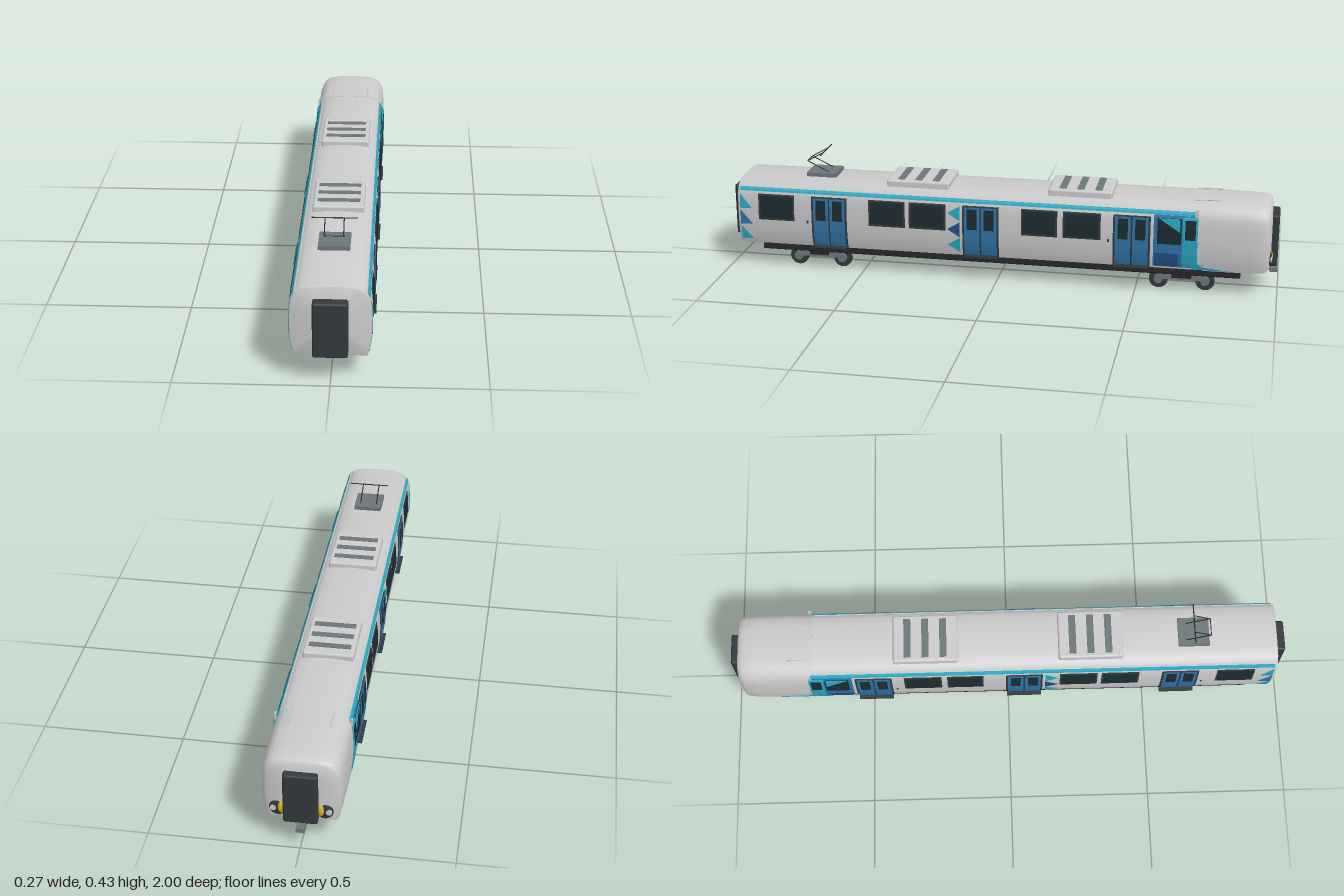
import * as THREE from 'three';
import { toCreasedNormals } from 'three/addons/utils/BufferGeometryUtils.js';
import { RoundedBoxGeometry } from 'three/addons/geometries/RoundedBoxGeometry.js';

const mat = (color) => new THREE.MeshStandardMaterial({ color });
const M = {
  grey: mat(0xcccccc), dark: mat(0x33393c), under: mat(0x25282b), steel: mat(0x6c7679),
  glass: mat(0x1c2b30), blue: mat(0x2f73a8), navy: mat(0x234f86), cyan: mat(0x27a9c4), yellow: mat(0xe0b520),
};

// Half cross-section of the car, from sill to roof ridge
const half = [[0.117, 0.09], [0.124, 0.115], [0.129, 0.15], [0.131, 0.2], [0.129, 0.25], [0.126, 0.28],
  [0.12, 0.297], [0.109, 0.313], [0.093, 0.324], [0.06, 0.33], [0, 0.333]];
const ring = [...half, ...half.slice(0, -1).reverse().map(([x, y]) => [-x, y])];

// Body half-width at a height
function sideX(y) {
  for (let i = 1; i < half.length; i++) {
    const [x0, y0] = half[i - 1], [x1, y1] = half[i];
    if (y <= y1) return x0 + (x1 - x0) * Math.max(0, (y - y0) / (y1 - y0));
  }
  return 0;
}

function extrude(points, depth) {
  const shape = new THREE.Shape(points.map(([x, y]) => new THREE.Vector2(x, y)));
  return new THREE.ExtrudeGeometry(shape, { depth, bevelEnabled: false });
}

// Skin through scaled cross-sections; each section is [z, scaleX, scaleY, slant]
function loft(sections) {
  const n = ring.length, pos = [], index = [];
  for (const [z, sx, sy, slant] of sections)
    for (const [x, y] of ring) pos.push(x * sx, 0.2 + (y - 0.2) * sy, z - slant * (0.333 - y));
  for (let i = 0; i < sections.length - 1; i++)
    for (let j = 0; j < n; j++) {
      const a = i * n + j, b = i * n + (j + 1) % n;
      index.push(a, a + n, b, b, a + n, b + n);
    }
  const g = new THREE.BufferGeometry();
  g.setAttribute('position', new THREE.Float32BufferAttribute(pos, 3));
  g.setIndex(index);
  return toCreasedNormals(g, 0.75);
}

export function createModel() {
  const root = new THREE.Group();
  root.name = 'railCar';
  const add = (name, geo, material, x = 0, y = 0, z = 0, parent = root) => {
    const m = new THREE.Mesh(geo, material);
    m.name = name;
    m.position.set(x, y, z);
    parent.add(m);
    return m;
  };
  const box = (name, w, h, d, material, x, y, z, parent) =>
    add(name, new THREE.BoxGeometry(w, h, d), material, x, y, z, parent);
  const rod = (name, a, b, r, material, parent) => {
    const p = new THREE.Vector3(...a), q = new THREE.Vector3(...b);
    const m = add(name, new THREE.CylinderGeometry(r, r, p.distanceTo(q), 8), material, 0, 0, 0, parent);
    m.position.copy(p).add(q).multiplyScalar(0.5);
    m.quaternion.setFromUnitVectors(new THREE.Vector3(0, 1, 0), q.sub(p).normalize());
  };

  // Body and cab shells
  add('bodyShell', loft([[0.965, 0.01, 0.01, 0], [0.965, 0.95, 0.96, 0], [0.963, 0.98, 0.985, 0],
    [0.955, 1, 1, 0], [-0.73, 1, 1, 0], [-0.73, 0.01, 0.01, 0]]), M.grey);
  add('cabShell', loft([[-0.7, 0.98, 0.98, 0.15], [-0.7, 1.008, 1.012, 0.15], [-0.8, 1.008, 1.012, 0.05],
    [-0.9, 1.005, 1.005, 0], [-0.945, 0.985, 0.985, 0], [-0.96, 0.94, 0.95, 0],
    [-0.967, 0.86, 0.9, 0], [-0.972, 0.5, 0.6, 0], [-0.973, 0.01, 0.01, 0]]), M.grey);

  // Gangways at both ends
  add('frontGangway', new RoundedBoxGeometry(0.112, 0.19, 0.06, 3, 0.008), M.dark, 0, 0.193, 0.97);
  add('rearGangway', new RoundedBoxGeometry(0.112, 0.19, 0.06, 3, 0.008), M.dark, 0, 0.193, -0.966);

  // Underframe and coupler
  add('underframe', new RoundedBoxGeometry(0.224, 0.03, 1.75, 2, 0.005), M.under, 0, 0.079, 0.005);
  box('coupler', 0.028, 0.016, 0.028, M.steel, 0, 0.07, -0.984);
  box('couplerBar', 0.012, 0.01, 0.13, M.steel, 0, 0.07, -0.915);

  // Panel that follows the body side; s = 1 left, -1 right
  const panel = (name, s, z0, z1, y0, y1, off, material, parent) => {
    const ys = [y0, ...half.map((p) => p[1]).filter((y) => y > y0 && y < y1), y1];
    const pts = [...ys.map((y) => [sideX(y) + off, y]), ...ys.reverse().map((y) => [sideX(y) - 0.004, y])];
    const g = extrude(pts, z1 - z0);
    g.translate(0, 0, s > 0 ? z0 : -z1);
    if (s < 0) g.rotateY(Math.PI);
    return add(name, g, material, 0, 0, 0, parent);
  };
  // Small polygon of [z, y] corners laid on the body side
  const patch = (name, s, pts, off, material) => {
    const g = extrude(pts.map(([z, y]) => [-z * s, y]), 0.005).rotateY(Math.PI / 2);
    const p = g.attributes.position;
    for (let i = 0; i < p.count; i++) p.setX(i, p.getX(i) + sideX(p.getY(i)) + off - 0.005);
    // corners run along -z after turning, so right-hand patches are turned about y
    if (s < 0) g.rotateY(Math.PI);
    g.computeVertexNormals();
    return add(name, g, material);
  };

  for (const s of [1, -1]) {
    panel('roofLineStripe', s, -0.71, 0.955, 0.291, 0.304, 0.002, M.cyan);
    panel('gutter', s, -0.7, 0.96, 0.309, 0.313, 0.003, M.grey);

    // Passenger windows
    for (const [z0, z1] of [[0.75, 0.885], [0.335, 0.47], [0.185, 0.32], [-0.22, -0.09], [-0.375, -0.24]]) {
      panel('windowFrame', s, z0, z1, 0.185, 0.282, 0.002, M.dark);
      panel('windowPane', s, z0 + 0.007, z1 - 0.007, 0.193, 0.275, 0.003, M.glass);
    }

    // Double doors
    for (const z of [0.618, 0.057, -0.485]) {
      const door = new THREE.Group();
      door.name = 'doubleDoor';
      root.add(door);
      panel('doorFrame', s, z - 0.066, z + 0.066, 0.09, 0.282, 0.003, M.dark, door);
      for (const k of [-1, 1]) {
        const c = z + k * 0.031;
        panel('doorLeaf', s, c - 0.028, c + 0.028, 0.097, 0.277, 0.005, M.blue, door);
        panel('doorWindow', s, c - 0.018, c + 0.018, 0.195, 0.27, 0.006, M.glass, door);
      }
      box('doorStep', 0.02, 0.006, 0.125, M.dark, s * 0.127, 0.092, z, door);
      box('doorButton', 0.004, 0.01, 0.006, M.dark, s * 0.131, 0.185, z + 0.082, door);
    }

    // Triangle decoration
    for (let i = 0; i < 3; i++) {
      const y = 0.103 + i * 0.06, colour = i === 1 ? M.blue : M.cyan;
      patch('endTriangle', s, [[0.955, y], [0.912, y + 0.004], [0.955, y + 0.056]], 0.002, colour);
      patch('doorTriangle', s, [[0.133, y], [0.133, y + 0.056], [0.178, y + 0.028]], 0.002,
        i === 1 ? M.navy : M.cyan);
    }

    // Coloured bay behind the cab
    panel('cabBay', s, -0.705, -0.562, 0.097, 0.29, 0.0015, M.blue);
    panel('cabBayLower', s, -0.65, -0.566, 0.1, 0.15, 0.003, M.navy);
    panel('cabBayWindow', s, -0.66, -0.575, 0.185, 0.28, 0.003, M.glass);
    patch('cabBayWedge', s, [[-0.58, 0.279], [-0.655, 0.279], [-0.655, 0.23]], 0.005, M.cyan);
    panel('cabDoor', s, -0.717, -0.664, 0.1, 0.286, 0.005, M.cyan);
    panel('cabDoorWindow', s, -0.71, -0.673, 0.205, 0.276, 0.006, M.glass);
    patch('cabSillSweep', s, [[-0.7, 0.092], [-0.7, 0.13], [-0.735, 0.103], [-0.83, 0.092]], 0.004, M.cyan);

    // Cab aerials and roof rails
    box('cabBracket', 0.005, 0.026, 0.012, M.grey, s * 0.126, 0.302, -0.712);
    rod('roofRail', [s * 0.068, 0.334, -0.7], [s * 0.068, 0.336, -0.79], 0.002, M.grey);

    // Lamp clusters beside the rear gangway
    const lamp = add('lampHousing', new THREE.SphereGeometry(1, 20, 12), M.dark, s * 0.075, 0.137, -0.962);
    lamp.scale.set(0.032, 0.034, 0.014);
    const warning = add('yellowPanel', new THREE.SphereGeometry(1, 16, 10), M.yellow, s * 0.064, 0.139, -0.965);
    warning.scale.set(0.016, 0.026, 0.014);
    const lens = add('lampLens', new THREE.CylinderGeometry(0.01, 0.01, 0.01, 16), M.grey, s * 0.09, 0.137, -0.972);
    lens.rotation.x = Math.PI / 2;
  }

  // Roof equipment with slots
  for (const z of [0.295, -0.295]) {
    add('roofUnit', new RoundedBoxGeometry(0.176, 0.034, 0.23, 2, 0.008), M.grey, 0, 0.333, z);
    for (const k of [-1, 0, 1]) box('roofUnitSlot', 0.146, 0.003, 0.025, M.steel, 0, 0.3502, z + k * 0.064);
  }

  // Pantograph
  const panto = new THREE.Group();
  panto.name = 'pantograph';
  root.add(panto);
  box('pantographBase', 0.104, 0.014, 0.11, M.steel, 0, 0.342, 0.665, panto);
  for (const x of [-0.031, 0.031]) {
    rod('lowerArm', [x, 0.346, 0.635], [x, 0.388, 0.722], 0.002, M.under, panto);
    rod('upperArm', [x, 0.388, 0.722], [x, 0.423, 0.66], 0.0017, M.under, panto);
  }
  rod('elbowBar', [-0.031, 0.388, 0.722], [0.031, 0.388, 0.722], 0.0015, M.under, panto);
  rod('contactBar', [-0.074, 0.423, 0.66], [0.074, 0.423, 0.66], 0.002, M.under, panto);

  // Bogies
  for (const z of [0.67, -0.663]) {
    const bogie = new THREE.Group();
    bogie.name = 'bogie';
    bogie.position.z = z;
    root.add(bogie);
    add('bogieFrame', new RoundedBoxGeometry(0.172, 0.02, 0.18, 2, 0.004), M.steel, 0, 0.045, 0, bogie);
    box('bogiePivot', 0.08, 0.02, 0.06, M.under, 0, 0.06, 0, bogie);
    for (const s of [1, -1]) {
      box('sideBeam', 0.012, 0.018, 0.17, M.steel, s * 0.082, 0.046, 0, bogie);
      box('suspension', 0.018, 0.02, 0.07, M.under, s * 0.096, 0.06, 0, bogie);
      for (const dz of [0.083, -0.083]) {
        const wheel = add('wheel', new THREE.CylinderGeometry(0.034, 0.034, 0.013, 28), M.dark, s * 0.07, 0.034, dz, bogie);
        const hub = add('axleBox', new THREE.CylinderGeometry(0.016, 0.016, 0.02, 16), M.steel, s * 0.079, 0.036, dz, bogie);
        wheel.rotation.z = hub.rotation.z = Math.PI / 2;
      }
    }
    for (const dz of [0.083, -0.083]) rod('axle', [-0.07, 0.034, dz], [0.07, 0.034, dz], 0.006, M.steel, bogie);
  }
  return root;
}
